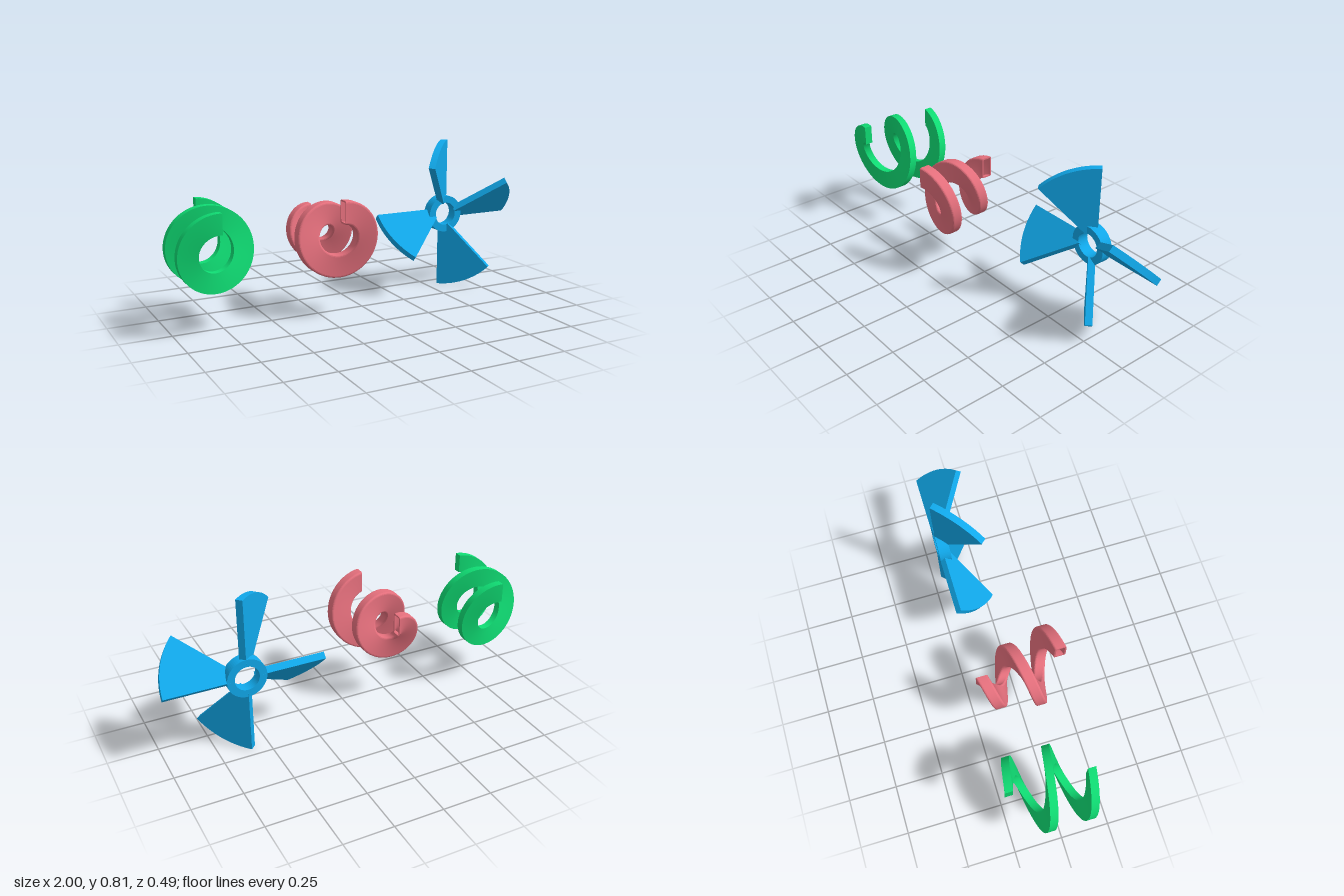
import * as THREE from 'three';

const AXIS_Y = 0.405;
const material = (color, side = THREE.FrontSide) => new THREE.MeshStandardMaterial({ color, side });

function addMesh(parent, name, geometry, mat) {
  const mesh = new THREE.Mesh(geometry, mat);
  mesh.name = name;
  parent.add(mesh);
  return mesh;
}

// Rectangle section (radial w, axial h), counter-clockwise, with rounded corners when r > 0
function rectSection(w, h, r = 0) {
  const points = [];
  const steps = r > 0 ? 3 : 0;
  [[1, 1], [-1, 1], [-1, -1], [1, -1]].forEach(([sx, sy], corner) => {
    for (let k = 0; k <= steps; k++) {
      const a = (corner + (steps ? k / steps : 0.5)) * Math.PI / 2;
      points.push(new THREE.Vector2(
        sx * (w / 2 - r) + r * Math.cos(a),
        sy * (h / 2 - r) + r * Math.sin(a)));
    }
  });
  return points;
}

// Sweeps a section, optionally hollow, along a helix around z that starts at the top
function helixGeometry({ outline, hole, turns, radius, z }) {
  const positions = [];
  const index = [];
  const steps = turns * 72;
  const place = (p, s) => {
    const t = s * turns * Math.PI * 2;
    const r = THREE.MathUtils.lerp(radius[0], radius[1], s) + p.x;
    positions.push(r * Math.sin(t), r * Math.cos(t), THREE.MathUtils.lerp(z[0], z[1], s) + p.y);
    return positions.length / 3 - 1;
  };

  // One strip per section edge: sharp across edges, smooth along the helix
  const loops = hole ? [outline, [...hole].reverse()] : [outline];
  for (const loop of loops) {
    loop.forEach((p, i) => {
      const q = loop[(i + 1) % loop.length];
      for (let j = 0; j <= steps; j++) {
        const a = place(p, j / steps);
        const b = place(q, j / steps);
        if (j < steps) index.push(a, b, b + 2, a, b + 2, a + 2);
      }
    });
  }

  // End faces
  const faces = THREE.ShapeUtils.triangulateShape([...outline], hole ? [[...loops[1]]] : []);
  for (const s of [0, 1]) {
    const ids = loops.flat().map((p) => place(p, s));
    for (const [a, b, c] of faces) {
      index.push(...(s ? [ids[a], ids[b], ids[c]] : [ids[a], ids[c], ids[b]]));
    }
  }

  const geometry = new THREE.BufferGeometry();
  geometry.setAttribute('position', new THREE.Float32BufferAttribute(positions, 3));
  geometry.setIndex(index);
  geometry.computeVertexNormals();
  return geometry;
}

// Ring or ring sector with its start on +y, sweeping towards +x
function ringSector(inner, outer, angle, depth) {
  const shape = new THREE.Shape();
  const top = Math.PI / 2;
  shape.absarc(0, 0, outer, top, top - angle, true);
  shape.absarc(0, 0, inner, top - angle, top, false);
  return new THREE.ExtrudeGeometry(shape, { depth, bevelEnabled: false, curveSegments: 32 })
    .translate(0, 0, -depth / 2);
}

function createFan() {
  const fan = new THREE.Group();
  fan.name = 'fan';
  const blue = material(0x10a8ea);

  // Hub with a round bore
  const hub = new THREE.Shape().absarc(0, 0, 0.1, 0, Math.PI * 2);
  hub.holes.push(new THREE.Path().absarc(0, 0, 0.062, 0, Math.PI * 2, true));
  const hubGeometry = new THREE.ExtrudeGeometry(hub, { depth: 0.06, bevelEnabled: false, curveSegments: 32 });
  addMesh(fan, 'fanHub', hubGeometry, blue).position.z = -0.205;

  // Four pitched blades
  const bladeGeometry = ringSector(0.078, 0.405, Math.PI / 4, 0.035)
    .rotateY(-Math.PI * 0.75)
    .translate(0.014, 0, -0.193);
  for (let i = 0; i < 4; i++) {
    addMesh(fan, 'fanBlade', bladeGeometry, blue).rotation.z = i * Math.PI / 2;
  }
  return fan;
}

export function createModel() {
  const model = new THREE.Group();
  model.name = 'helixAndFanSet';

  // Solid coil of constant radius
  const coil = addMesh(model, 'straightCoil', helixGeometry({
    outline: rectSection(0.1, 0.04),
    turns: 2, radius: [0.15, 0.15], z: [-0.225, 0.175],
  }), material(0x0fdc73, THREE.DoubleSide));
  coil.position.set(-0.8, AXIS_Y, 0);

  // Hollow coil that narrows towards the back
  const cone = addMesh(model, 'taperedCoil', helixGeometry({
    outline: rectSection(0.115, 0.06, 0.01),
    hole: rectSection(0.099, 0.044),
    turns: 2, radius: [0.1525, 0.0725], z: [0.215, -0.185],
  }), material(0xe46f7c, THREE.DoubleSide));
  cone.position.set(-0.211, AXIS_Y, 0);

  const fan = createFan();
  fan.position.set(0.595, AXIS_Y, 0);
  model.add(fan);

  return model;
}
